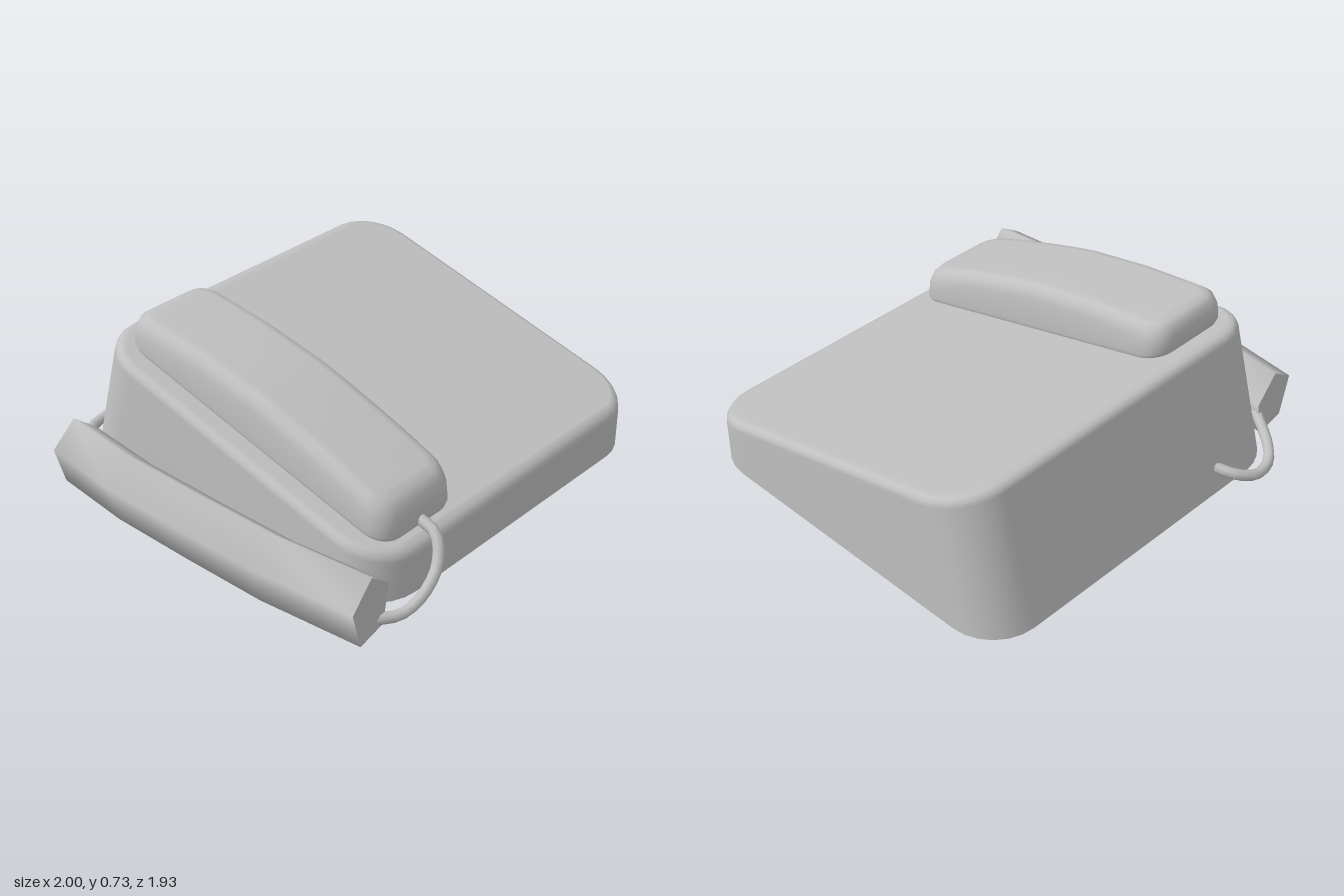
import * as THREE from 'three';

const plastic = new THREE.MeshStandardMaterial({ color: 0xc0c0c0, side: THREE.DoubleSide });
plastic.name = 'grey plastic';

// Skin a stack of closed rings; the end cap may share its rim for a soft edge.
function loft(rings, { startCap = true, softEnd = false } = {}) {
  const n = rings[0].length, pos = rings.flat(2), idx = [];
  for (let j = 0; j < rings.length - 1; j++) {
    for (let i = 0; i < n; i++) {
      const a = j * n + i, b = j * n + (i + 1) % n;
      idx.push(a, a + n, b, b, a + n, b + n);
    }
  }
  const cap = (base, flip) => {
    const tri = (a, b, c) => idx.push(base + a, base + (flip ? c : b), base + (flip ? b : c));
    for (let lo = 0, hi = n - 1; lo + 1 < hi; lo++, hi--) {
      tri(lo, hi, lo + 1);
      if (hi - 1 > lo + 1) tri(lo + 1, hi, hi - 1);
    }
  };
  const copy = (ring) => {
    const base = pos.length / 3;
    pos.push(...ring.flat());
    return base;
  };
  const last = rings.length - 1;
  cap(softEnd ? last * n : copy(rings[last]), false);
  if (startCap) cap(copy(rings[0]), true);
  const g = new THREE.BufferGeometry();
  g.setAttribute('position', new THREE.Float32BufferAttribute(pos, 3));
  g.setIndex(idx);
  g.computeVertexNormals();
  return g;
}

// Rounded rectangle seen from above, with its height given by a rule in z.
function roundedRing(cx, halfW, z0, z1, r, height, divisions = 8, arc = 6) {
  const half = [];
  for (let k = 0; k <= arc; k++) {
    const t = k / arc * Math.PI / 2;
    half.push([halfW - r + r * Math.sin(t), z0 + r - r * Math.cos(t)]);
  }
  for (let k = 1; k < divisions; k++) {
    half.push([halfW, THREE.MathUtils.lerp(z0 + r, z1 - r, k / divisions)]);
  }
  for (let k = 0; k <= arc; k++) {
    const t = k / arc * Math.PI / 2;
    half.push([halfW - r + r * Math.cos(t), z1 - r + r * Math.sin(t)]);
  }
  const right = half.map(([x, z]) => [cx + x, height(z), z]);
  const left = half.map(([x, z]) => [cx - x, height(z), z]).reverse();
  return [...right, ...left];
}

// Piecewise linear height from [z, y] points listed with z falling.
function heightFrom(points) {
  return (z) => {
    let i = 0;
    while (i < points.length - 2 && z < points[i + 1][0]) i++;
    const [za, ya] = points[i], [zb, yb] = points[i + 1];
    return ya + (yb - ya) * (z - za) / (zb - za);
  };
}

const slope = (z) => 0.24 + (0.8 - z) * 0.265;

export function createModel() {
  const group = new THREE.Group();
  const add = (name, geometry) => {
    const mesh = new THREE.Mesh(geometry, plastic);
    mesh.name = name;
    group.add(mesh);
  };

  // Hollow wedge-shaped base, open underneath
  const body = (inset, back, drop) =>
    roundedRing(0.14, 0.86 - inset, back, 0.857 - inset, 0.22 - inset, (z) => slope(z) - drop);
  add('base', loft([
    roundedRing(0.14, 0.86, -0.862, 0.857, 0.22, () => 0.01),
    body(0, -0.705, 0.045),
    body(0.004, -0.697, 0.026),
    body(0.016, -0.68, 0.008),
    body(0.038, -0.65, 0),
  ], { startCap: false, softEnd: true }));

  // Arched handset lying on the sloping top
  const crown = heightFrom([[0.8, 0.385], [0.76, 0.405], [0.5, 0.51], [0.14, 0.63],
    [-0.2, 0.7], [-0.5, 0.74], [-0.6, 0.748]]);
  const shell = (inset, height) =>
    roundedRing(-0.405, 0.225 - inset, -0.603 + inset, 0.797 - inset, 0.1 - inset * 0.6, height);
  add('handset', loft([
    shell(0.008, (z) => slope(z) - 0.003),
    shell(0, (z) => slope(z) + 0.02),
    shell(0.006, (z) => crown(z) - 0.065),
    shell(0.022, (z) => crown(z) - 0.025),
    shell(0.045, (z) => crown(z) - 0.006),
    shell(0.075, crown),
  ], { softEnd: true }));

  // Bowed five-sided bar beside the base, with slightly skewed ends
  const pentagon = [[0.005, 0.28], [0.128, 0.178], [0.09, 0.012], [-0.07, 0.012], [-0.125, 0.19]];
  const stations = [[-0.735, -0.83, -0.12], [-0.35, -0.871, -0.05], [0.05, -0.875, 0],
    [0.45, -0.872, -0.05], [0.91, -0.825, -0.18]];
  add('sideBar', loft(stations.map(([z, cx, skew]) =>
    pentagon.map(([x, y]) => [cx + x, y, z + x * skew]))));

  // Two short cords looping from the side bar
  const cord = (name, points) => add(name, new THREE.TubeGeometry(
    new THREE.CatmullRomCurve3(points.map((p) => new THREE.Vector3(...p))), 14, 0.024, 8));
  cord('frontCord', [[-0.4, 0.27, 0.77], [-0.405, 0.235, 0.87], [-0.46, 0.145, 0.925],
    [-0.57, 0.065, 0.94], [-0.67, 0.034, 0.925], [-0.77, 0.045, 0.88]]);
  cord('rearCord', [[-0.33, 0.11, -0.82], [-0.375, 0.09, -0.9], [-0.46, 0.06, -0.94],
    [-0.56, 0.055, -0.925], [-0.63, 0.075, -0.87], [-0.74, 0.12, -0.71]]);

  return group;
}
